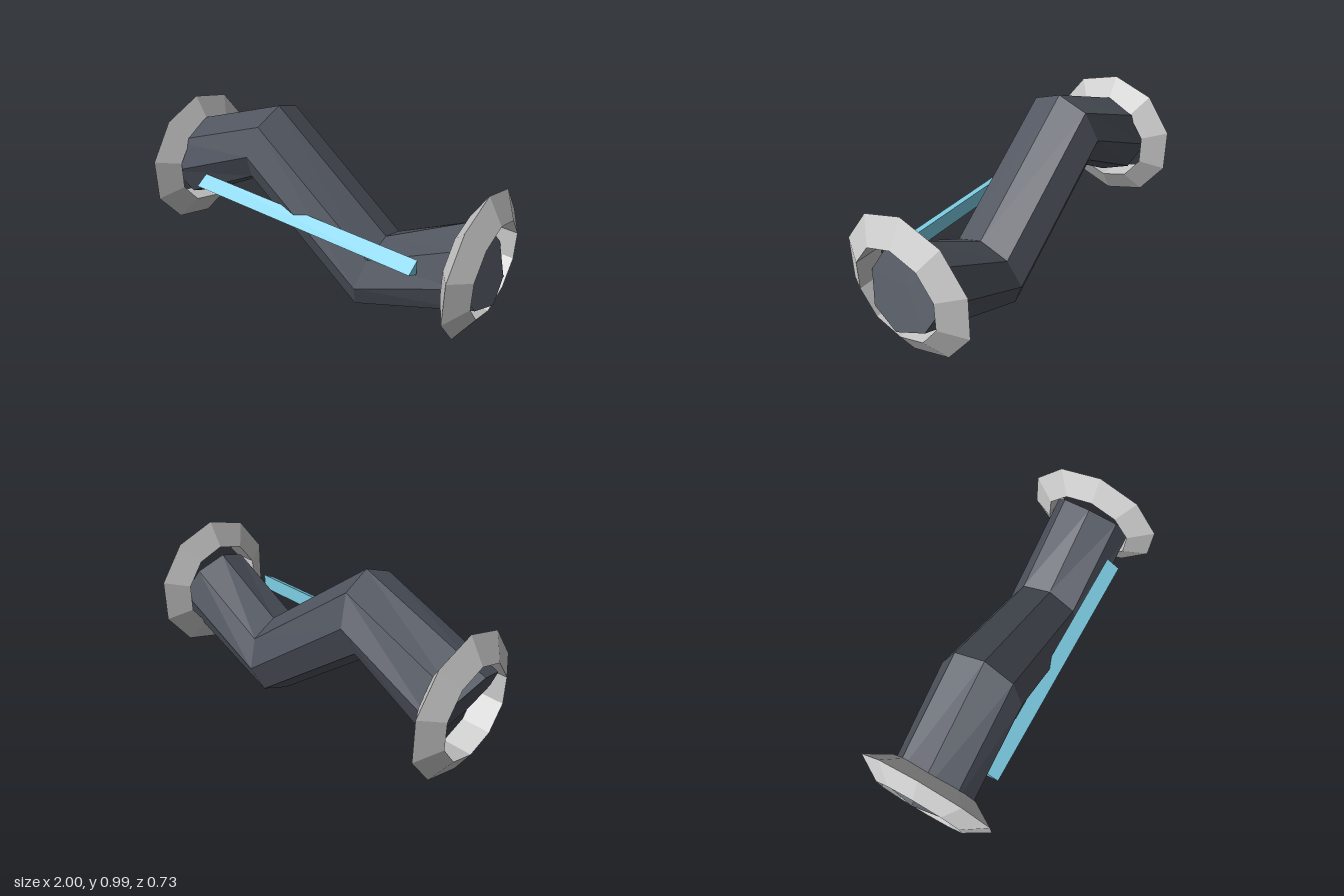
import * as THREE from 'three';

const MID_Y = 0.4925;

function flat(color) {
  return new THREE.MeshStandardMaterial({ color, flatShading: true });
}

// Octagonal zigzag tube: a capped cylinder whose four rows of vertices
// are moved onto tilted stations along the path.
function zigzagGeometry() {
  const stations = [ // x, y offset, tilt of the ring
    [-0.905, 0, 0.44],
    [-0.34, 0.273, -0.2],
    [0.34, -0.273, -0.2],
    [0.905, 0, 0.44],
  ];
  const geo = new THREE.CylinderGeometry(0.224, 0.224, 1, 8, 3);
  geo.rotateZ(-Math.PI / 2);
  const p = geo.attributes.position;
  for (let i = 0; i < p.count; i++) {
    const [cx, cy, tilt] = stations[Math.round((p.getX(i) + 0.5) * 3)];
    const h = p.getY(i);
    p.setXY(i, cx - h * Math.sin(tilt), cy + h * Math.cos(tilt));
  }
  geo.computeVertexNormals();
  return geo;
}

export function createModel() {
  const model = new THREE.Group();
  const add = (name, geometry, material, x, y, z) => {
    const mesh = new THREE.Mesh(geometry, material);
    mesh.name = name;
    mesh.position.set(x, y, z);
    model.add(mesh);
  };

  // Bent body
  add('zigzagBody', zigzagGeometry(), flat(0x50555f), 0, MID_Y, 0);

  // Ten-sided end rings with a triangular section, ridge outwards
  const ring = new THREE.TorusGeometry(0.294, 0.0893, 3, 10);
  ring.rotateZ(Math.PI / 2).rotateY(Math.PI / 2);
  const grey = flat(0xcccccc);
  add('leftRing', ring, grey, 0.902, MID_Y, 0);
  add('rightRing', ring, grey, -0.902, MID_Y, 0);

  // Triangular bar across the front
  const bar = new THREE.CylinderGeometry(0.05, 0.05, 1.35, 3);
  bar.rotateZ(-Math.PI / 2);
  add('frontBar', bar, flat(0x7fd0e8), 0, MID_Y + 0.003, 0.225);

  return model;
}
